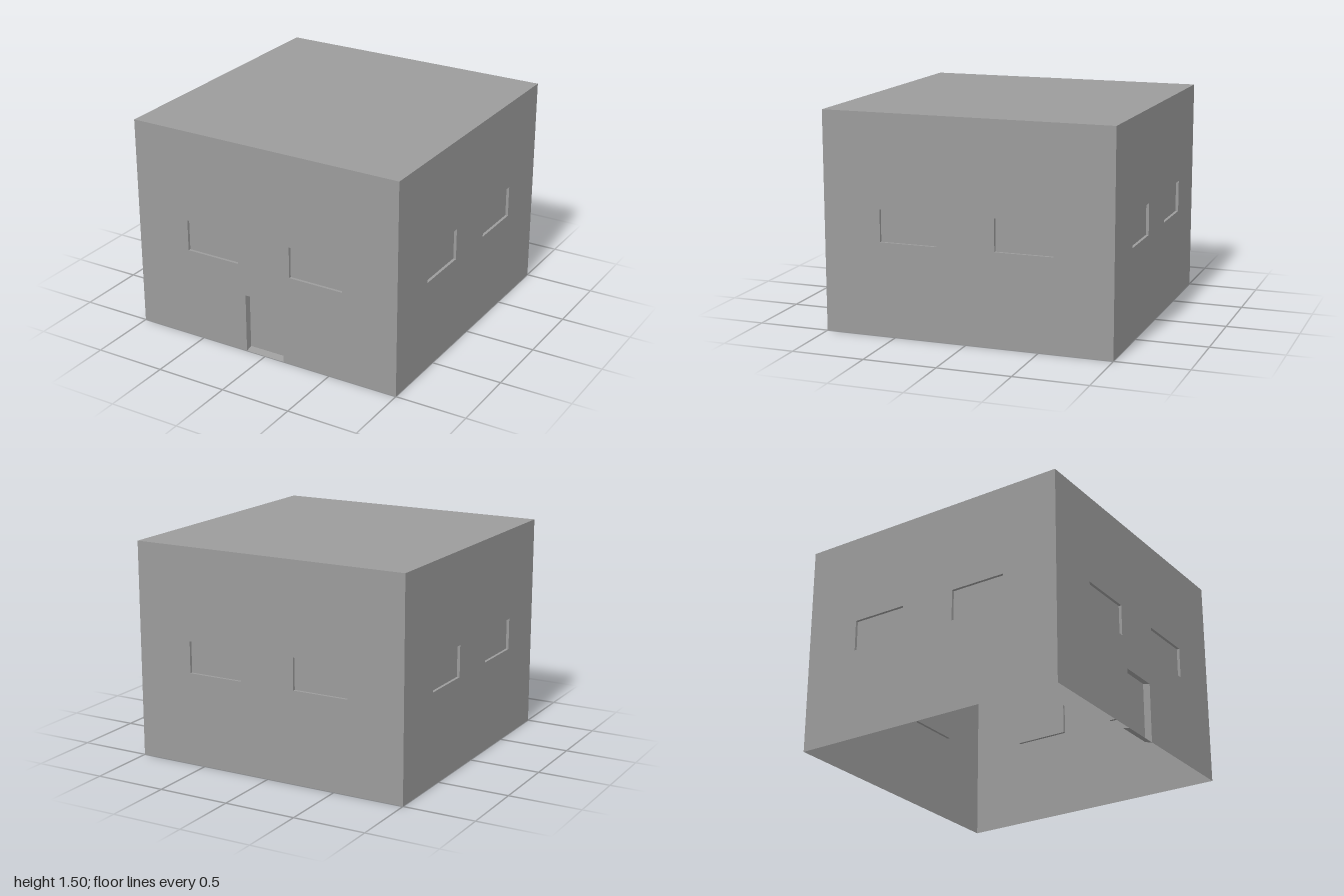
import * as THREE from 'three';

const HALF = 1, HEIGHT = 1.5;
const WINDOWS = [[-0.6, -0.2], [0.2, 0.6]].map(([x0, x1]) =>
  ({ name: 'window', x0, x1, y0: 0.64, y1: 0.86, depth: 0.02, rise: 0 }));
const DOOR = { name: 'door', x0: -0.147, x1: 0.147, y0: 0, y1: 0.42, depth: 0.05, rise: 0.013 };

const material = new THREE.MeshStandardMaterial({
  color: 0x9b9b9b, flatShading: true, side: THREE.DoubleSide });

function part(name, geometry) {
  const mesh = new THREE.Mesh(geometry, material);
  mesh.name = name;
  return mesh;
}

// Thin wall panel in the xy plane with window holes and an optional door notch
function wallPanel(door) {
  const points = [[-HALF, 0]];
  if (door) {
    points.push([door.x0, 0], [door.x0, door.y1], [door.x1, door.y1], [door.x1, 0]);
  }
  points.push([HALF, 0], [HALF, HEIGHT], [-HALF, HEIGHT]);
  const shape = new THREE.Shape(points.map(p => new THREE.Vector2(...p)));
  for (const { x0, x1, y0, y1 } of WINDOWS) {
    shape.holes.push(new THREE.Path(
      [[x0, y0], [x0, y1], [x1, y1], [x1, y0]].map(p => new THREE.Vector2(...p))));
  }
  return new THREE.ShapeGeometry(shape);
}

// Inset tray: four reveals and a back pane; rise lifts the back pane
function recess({ x0, x1, y0, y1, depth, rise }) {
  const ring = (dy, z) =>
    [x0, y0 + dy, z, x1, y0 + dy, z, x1, y1 + dy, z, x0, y1 + dy, z];
  const index = [4, 5, 6, 4, 6, 7];
  for (let i = 0; i < 4; i++) {
    const j = (i + 1) % 4;
    index.push(i, j, j + 4, i, j + 4, i + 4);
  }
  const indexed = new THREE.BufferGeometry();
  indexed.setAttribute('position',
    new THREE.Float32BufferAttribute([...ring(0, 0), ...ring(rise, -depth)], 3));
  indexed.setIndex(index);
  const geometry = indexed.toNonIndexed();
  geometry.computeVertexNormals();
  return geometry;
}

export function createModel() {
  const model = new THREE.Group();
  model.name = 'house';

  // Four walls, the front one with the doorway
  ['front', 'left', 'back', 'right'].forEach((side, i) => {
    const wall = new THREE.Group();
    wall.name = side + 'Wall';
    const door = side === 'front' ? DOOR : null;
    wall.add(part(side + 'Panel', wallPanel(door)));
    for (const opening of door ? [...WINDOWS, door] : WINDOWS) {
      wall.add(part(opening.name, recess(opening)));
    }
    wall.rotation.y = i * Math.PI / 2;
    wall.position.set(Math.sin(wall.rotation.y), 0, Math.cos(wall.rotation.y)).multiplyScalar(HALF);
    model.add(wall);
  });

  // Flat roof; the underside of the house stays open
  const roof = part('roof', new THREE.PlaneGeometry(2 * HALF, 2 * HALF).rotateX(-Math.PI / 2));
  roof.position.y = HEIGHT;
  model.add(roof);

  return model;
}
